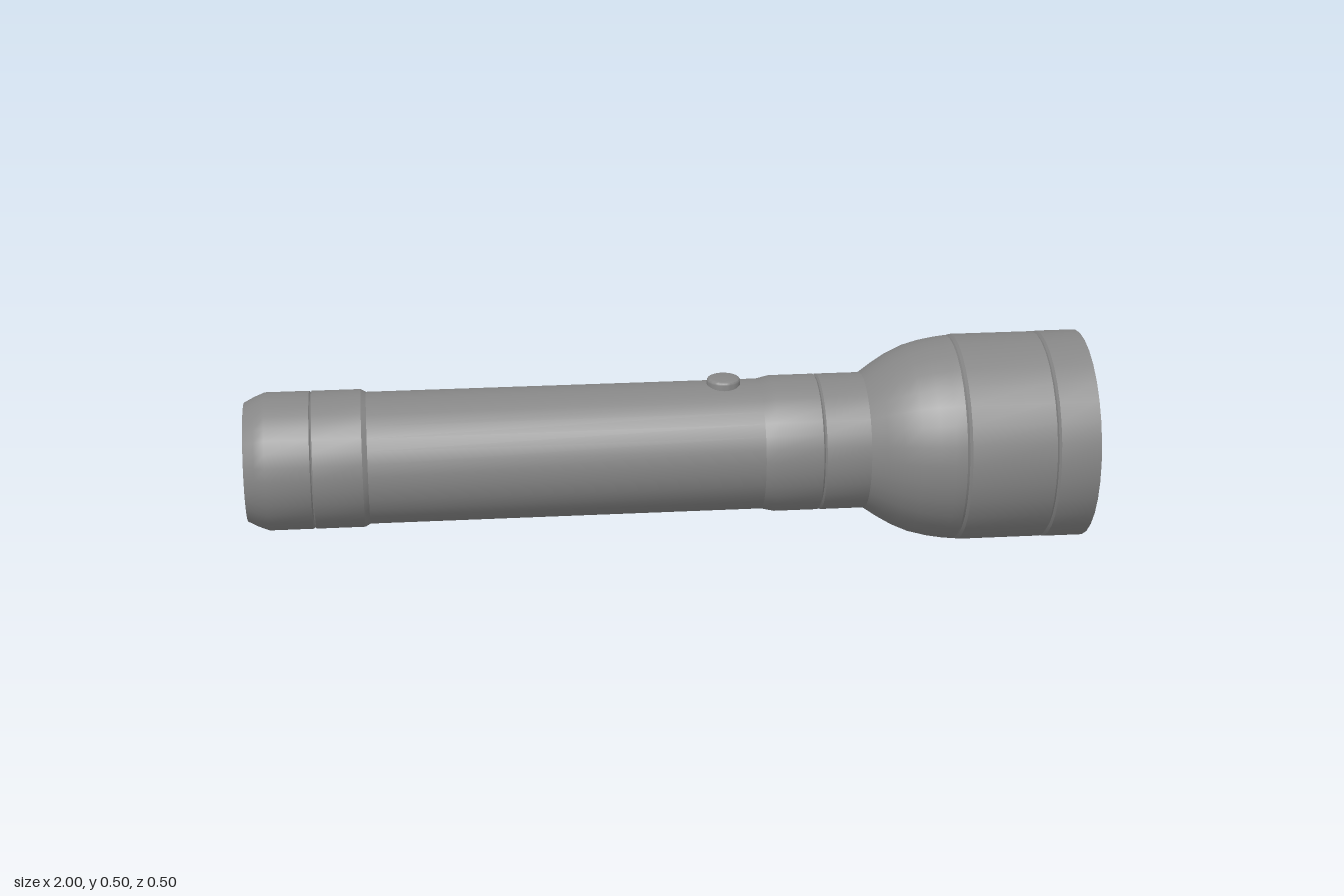
import * as THREE from 'three';
import { toCreasedNormals } from 'three/addons/utils/BufferGeometryUtils.js';

const AXIS_Y = 0.252;
const SIDES = 32;
const START_ANGLE = 0.13;
const material = new THREE.MeshStandardMaterial({ color: 0x868686 });

// Profile of [position along the axis, radius], turned around the y axis
function turn(name, profile) {
  const points = profile.map(([along, radius]) => new THREE.Vector2(radius, along));
  const geometry = toCreasedNormals(new THREE.LatheGeometry(points, SIDES, START_ANGLE), 0.45);
  const mesh = new THREE.Mesh(geometry, material);
  mesh.name = name;
  return mesh;
}

export function createModel() {
  const group = new THREE.Group();
  group.name = 'flashlight';

  // Turned parts, tail at -x and lens at +x
  const body = new THREE.Group();
  body.name = 'body';
  body.rotation.z = -Math.PI / 2;
  body.position.y = AXIS_Y;
  group.add(body);

  body.add(
    turn('tailCap', [
      [-1, 0], [-1, 0.141], [-0.975, 0.154], [-0.95, 0.164], [-0.846, 0.164], [-0.843, 0.16],
    ]),
    turn('tailRing', [
      [-0.843, 0.16], [-0.84, 0.164], [-0.725, 0.164], [-0.713, 0.157],
    ]),
    turn('barrel', [[-0.713, 0.157], [0.22, 0.157]]),
    turn('neckRing', [
      [0.22, 0.157], [0.25, 0.164], [0.356, 0.164], [0.36, 0.159],
    ]),
    // Neck flaring into the head
    turn('headFlare', [
      [0.36, 0.159], [0.364, 0.164], [0.47, 0.164], [0.505, 0.188], [0.54, 0.209],
      [0.58, 0.227], [0.62, 0.238], [0.655, 0.244], [0.682, 0.247], [0.688, 0.243],
    ]),
    turn('headBand', [
      [0.688, 0.243], [0.694, 0.249], [0.895, 0.249], [0.9, 0.244],
    ]),
    // Front rim with an inner wall down to the lens
    turn('bezel', [
      [0.9, 0.244], [0.905, 0.25], [1, 0.25], [1, 0.226], [0.97, 0.222],
    ]),
    turn('lens', [[0.97, 0.222], [0.97, 0]])
  );

  // Push button with a rounded edge on top of the barrel
  const button = turn('button', [
    [-0.03, 0.04], [0.01, 0.04], [0.013, 0.0394], [0.0157, 0.0377], [0.0174, 0.0351],
    [0.018, 0.032], [0.018, 0],
  ]);
  button.position.set(0.135, AXIS_Y + 0.154, 0);
  group.add(button);

  return group;
}
